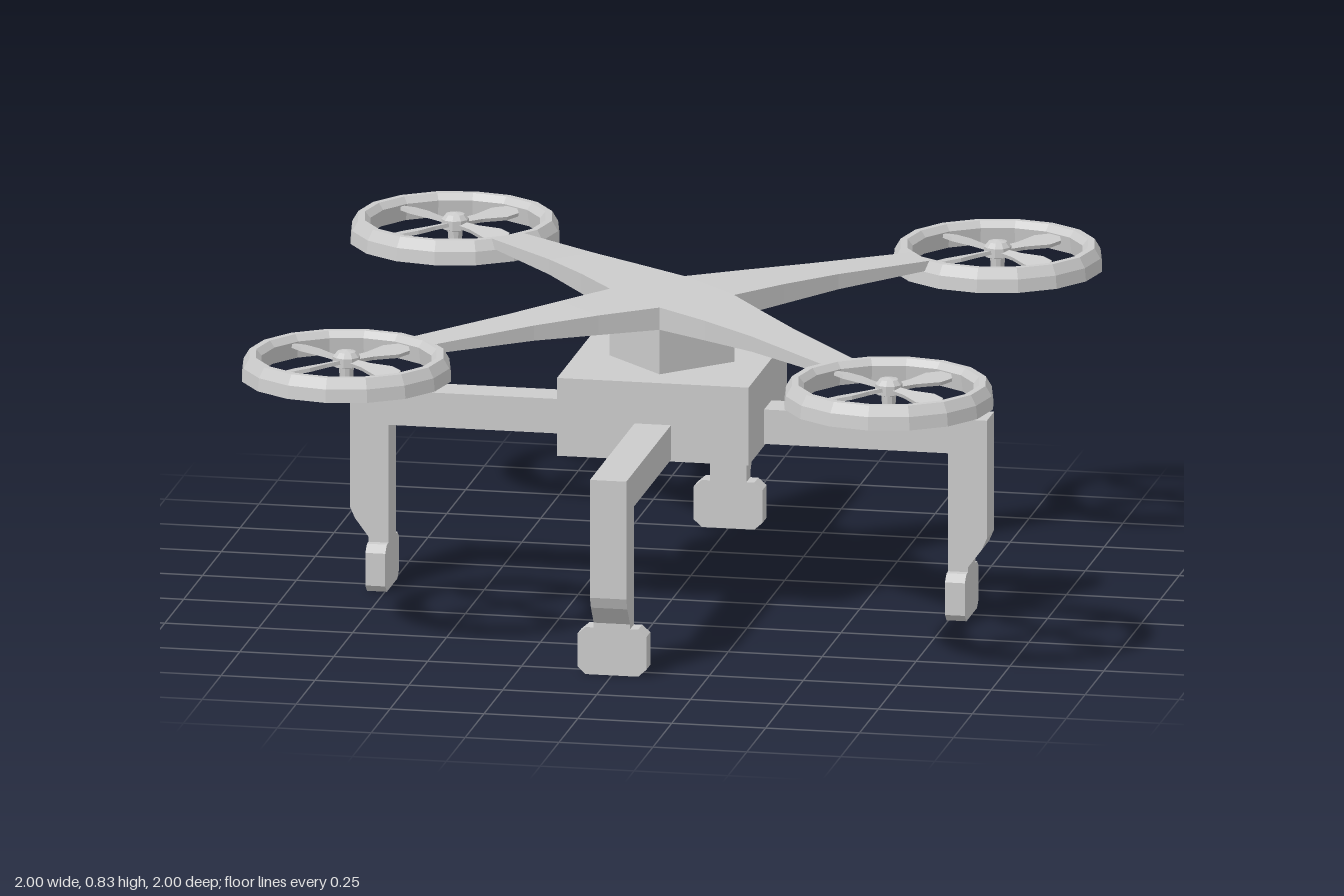
import * as THREE from 'three';

const material = new THREE.MeshStandardMaterial({ color: 0xcccccc, flatShading: true });

function add(parent, name, geometry, x = 0, y = 0, z = 0) {
  const mesh = new THREE.Mesh(geometry, material);
  mesh.name = name;
  mesh.position.set(x, y, z);
  parent.add(mesh);
  return mesh;
}

// Flat outline with thickness, centred on z = 0
function plate(points, thickness) {
  const shape = new THREE.Shape(points.map(([x, y]) => new THREE.Vector2(x, y)));
  return new THREE.ExtrudeGeometry(shape, { depth: thickness, bevelEnabled: false })
    .translate(0, 0, -thickness / 2);
}

// Tapered arm along +z, from sections of [distance, half width, top, bottom]
function armGeometry() {
  const sections = [
    [0.117, 0.117, 0.83, 0.77],
    [0.29, 0.09, 0.828, 0.775],
    [0.477, 0.067, 0.823, 0.782],
    [0.78, 0.05, 0.812, 0.787],
  ];
  const positions = [];
  const index = [];
  sections.forEach(([d, w, top, bottom], i) => {
    positions.push(-w, top, d, w, top, d, w, bottom, d, -w, bottom, d);
    if (i === 0) return;
    for (let j = 0; j < 4; j++) {
      const a = (i - 1) * 4 + j, b = (i - 1) * 4 + (j + 1) % 4;
      index.push(a, a + 4, b + 4, a, b + 4, b);
    }
  });
  const e = (sections.length - 1) * 4;
  index.push(e, e + 3, e + 2, e, e + 2, e + 1);
  const indexed = new THREE.BufferGeometry();
  indexed.setAttribute('position', new THREE.Float32BufferAttribute(positions, 3));
  indexed.setIndex(index);
  const geometry = indexed.toNonIndexed();
  geometry.computeVertexNormals();
  return geometry;
}

// Guard ring, hub and four pitched blades
function createRotor() {
  const rotor = new THREE.Group();
  rotor.name = 'rotor';

  const ring = [[0.232, 0.75], [0.278, 0.75], [0.274, 0.785], [0.258, 0.812], [0.24, 0.812], [0.226, 0.795], [0.232, 0.75]];
  add(rotor, 'guardRing', new THREE.LatheGeometry(ring.map(([r, y]) => new THREE.Vector2(r, y)), 16));

  const hub = [[0, 0.75], [0.018, 0.75], [0.02, 0.775], [0.036, 0.78], [0.036, 0.805], [0.025, 0.818], [0, 0.823]];
  add(rotor, 'hub', new THREE.LatheGeometry(hub.map(([r, y]) => new THREE.Vector2(r, y)), 10));

  const blade = plate([
    [0.02, -0.012], [0.08, -0.016], [0.15, -0.032], [0.195, -0.024],
    [0.21, 0], [0.195, 0.024], [0.15, 0.032], [0.08, 0.016], [0.02, 0.012],
  ], 0.01).rotateX(-Math.PI / 2 + 0.2);
  for (let i = 0; i < 4; i++) {
    add(rotor, 'blade', blade, 0, 0.792, 0).rotation.y = THREE.MathUtils.degToRad(51 + i * 90);
  }
  return rotor;
}

// Bent leg reaching along +x, with a wide foot
function createLeg() {
  const leg = new THREE.Group();
  leg.name = 'leg';
  add(leg, 'legBeam', plate([
    [0.2, 0.445], [0.745, 0.445], [0.745, 0.12], [0.798, 0.12],
    [0.798, 0.14], [0.835, 0.19], [0.848, 0.22], [0.848, 0.538], [0.2, 0.538],
  ], 0.097));
  const foot = plate([
    [-0.07, 0], [0.07, 0], [0.092, 0.02], [0.092, 0.108],
    [0.07, 0.127], [-0.07, 0.127], [-0.092, 0.108], [-0.092, 0.02],
  ], 0.053).rotateY(Math.PI / 2);
  add(leg, 'foot', foot, 0.7715, 0, 0);
  return leg;
}

export function createModel() {
  const model = new THREE.Group();
  model.name = 'drone';

  // Body and the diamond-shaped neck that carries the arms
  add(model, 'body', new THREE.BoxGeometry(0.51, 0.21, 0.51), 0, 0.545, 0);
  add(model, 'neck', new THREE.CylinderGeometry(0.166, 0.166, 0.19, 4), 0, 0.735, 0);

  const arm = armGeometry();
  for (let i = 0; i < 4; i++) {
    const quarter = i * Math.PI / 2;
    add(model, 'arm', arm).rotation.y = quarter + Math.PI / 4;

    const rotor = createRotor();
    rotor.position.set(i % 2 ? 0.722 : -0.722, 0, i < 2 ? 0.722 : -0.722);
    model.add(rotor);

    const leg = createLeg();
    leg.rotation.y = quarter;
    model.add(leg);
  }
  return model;
}
